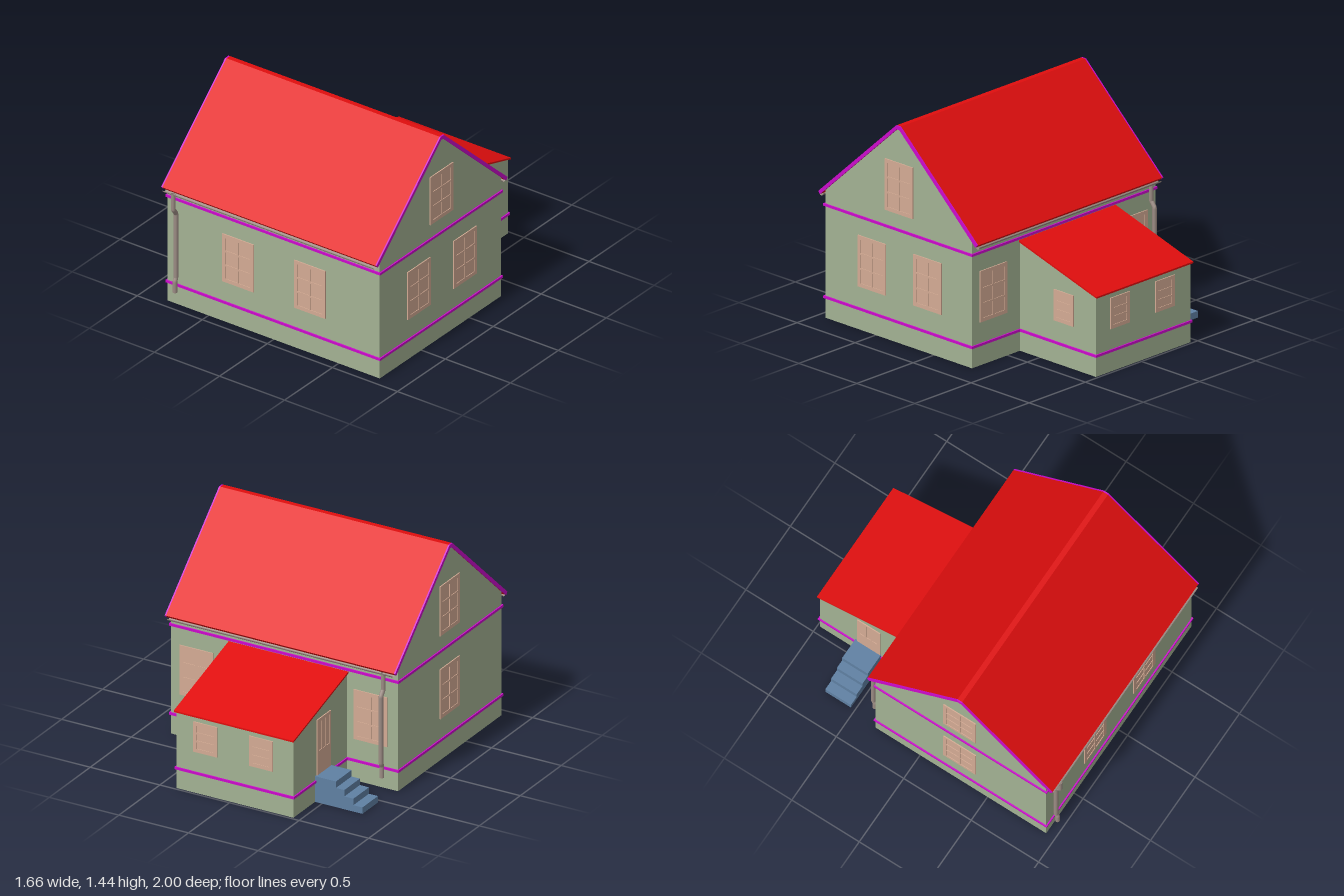
import * as THREE from 'three';

const mat = (color) => new THREE.MeshStandardMaterial({ color, side: THREE.DoubleSide });
const WALL = mat(0xa3b293), ROOF = mat(0xe00e0e), TRIM = mat(0xcc0acc);
const WOOD = mat(0xd4ab94), METAL = mat(0x9c8c84), STONE = mat(0x5f80a3);

function mesh(name, geometry, material, parent) {
  const m = new THREE.Mesh(geometry, material);
  m.name = name;
  parent.add(m);
  return m;
}

function box(name, x0, x1, y0, y1, z0, z1, material, parent) {
  const m = mesh(name, new THREE.BoxGeometry(x1 - x0, y1 - y0, z1 - z0), material, parent);
  m.position.set((x0 + x1) / 2, (y0 + y1) / 2, (z0 + z1) / 2);
  return m;
}

const polygon = (pts) => new THREE.Shape(pts.map(([a, b]) => new THREE.Vector2(a, b)));

// Extrude a (z, y) profile along x between x0 and x1
function alongX(pts, x0, x1) {
  return new THREE.ExtrudeGeometry(polygon(pts), { depth: x1 - x0, bevelEnabled: false })
    .rotateY(-Math.PI / 2).translate(x1, 0, 0);
}

// Flat wall with a (z, y) outline at a given x
function sideWall(name, pts, x, parent) {
  mesh(name, new THREE.ShapeGeometry(polygon(pts)).rotateY(-Math.PI / 2).translate(x, 0, 0), WALL, parent);
}

// Flat wall facing front or back
function crossWall(name, x0, x1, h, z, parent) {
  mesh(name, new THREE.PlaneGeometry(x1 - x0, h).translate((x0 + x1) / 2, h / 2, z), WALL, parent);
}

// Frame with pane openings [x, y, w, h] and a recessed panel behind it
function framed(name, w, h, panes, [x, y, z], turn, parent) {
  const g = new THREE.Group();
  g.name = name;
  const rect = (a, b, c, d) => [[a, b], [a + c, b], [a + c, b + d], [a, b + d]];
  const shape = polygon(rect(-w / 2, -h / 2, w, h));
  for (const p of panes) shape.holes.push(polygon(rect(...p)));
  mesh('frame', new THREE.ExtrudeGeometry(shape, { depth: 0.02, bevelEnabled: false }).translate(0, 0, -0.013), WOOD, g);
  mesh('pane', new THREE.BoxGeometry(w - 0.01, h - 0.01, 0.006), WOOD, g);
  g.position.set(x, y, z);
  g.rotation.y = turn;
  parent.add(g);
}

function paneGrid(w, h, cols, rows, x0 = -w / 2, y0 = -h / 2, margin = 0.025, gap = 0.012) {
  const pw = (w - 2 * margin - gap * (cols - 1)) / cols;
  const ph = (h - 2 * margin - gap * (rows - 1)) / rows;
  const out = [];
  for (let i = 0; i < cols; i++)
    for (let j = 0; j < rows; j++)
      out.push([x0 + margin + i * (pw + gap), y0 + margin + j * (ph + gap), pw, ph]);
  return out;
}

export function createModel() {
  const house = new THREE.Group();
  house.name = 'house';
  const X = 0.816, ZF = 0.935, ZB = -0.33;
  const AX0 = -0.45, AX1 = 0.39, AZ = -0.985;

  // Main walls, open underneath
  const gable = [[ZF, 0], [ZF, 0.846], [0.31, 1.42], [0.285, 1.42], [ZB, 0.85], [ZB, 0]];
  sideWall('leftWall', gable, X, house);
  sideWall('rightWall', gable, -X, house);
  crossWall('frontWall', -X, X, 0.846, ZF, house);
  crossWall('backWall', -X, X, 0.85, ZB, house);

  // Porch walls
  const porchSide = [[ZB, 0], [ZB, 0.722], [AZ, 0.527], [AZ, 0]];
  sideWall('porchLeftWall', porchSide, AX1, house);
  sideWall('porchRightWall', porchSide, AX0, house);
  crossWall('porchBackWall', AX0, AX1, 0.527, AZ, house);

  // Roofs and gable edge boards
  const roof = [[0.985, 0.83], [0.315, 1.441], [0.28, 1.441], [-0.385, 0.83],
    [-0.37, 0.813], [0.286, 1.417], [0.309, 1.417], [0.97, 0.813]];
  mesh('mainRoof', alongX(roof, -0.818, 0.818), ROOF, house);
  mesh('leftEdgeBoard', alongX(roof, 0.818, 0.828), TRIM, house);
  mesh('rightEdgeBoard', alongX(roof, -0.828, -0.818), TRIM, house);
  mesh('porchRoof', alongX([[ZB, 0.735], [-1, 0.536], [-1, 0.525], [ZB, 0.723]], -0.46, 0.4), ROOF, house);

  // Trim bands around the walls
  const t = 0.009;
  for (const y of [0.131, 0.742]) {
    const y1 = y + 0.016;
    box('frontBand', -X - t, X + t, y, y1, ZF, ZF + t, TRIM, house);
    for (const [a, b] of y < 0.5 ? [[-X - t, AX0], [AX1, X + t]] : [[-X - t, X + t]])
      box('backBand', a, b, y, y1, ZB - t, ZB, TRIM, house);
    box('leftBand', X, X + t, y, y1, ZB, ZF, TRIM, house);
    box('rightBand', -X - t, -X, y, y1, ZB, ZF, TRIM, house);
  }
  box('porchBackBand', AX0 - t, AX1 + t, 0.131, 0.147, AZ - t, AZ, TRIM, house);
  box('porchLeftBand', AX1, AX1 + t, 0.131, 0.147, AZ, ZB, TRIM, house);
  for (const [a, b] of [[AZ, -0.715], [-0.535, ZB]])
    box('porchRightBand', AX0 - t, AX0, 0.131, 0.147, a, b, TRIM, house);

  // Windows
  const Q = Math.PI / 2;
  const big = paneGrid(0.24, 0.34, 2, 3), small = paneGrid(0.17, 0.206, 1, 3);
  const bigWindows = [
    [-0.27, 0.456, ZF, 0], [0.282, 0.456, ZF, 0],
    [-0.62, 0.456, ZB, 2 * Q], [0.63, 0.456, ZB, 2 * Q],
    [X, 0.456, 0.53, Q], [X, 0.456, 0.05, Q], [X, 1.025, 0.296, Q],
    [-X, 0.456, 0.296, -Q], [-X, 1.025, 0.296, -Q],
  ];
  for (const [x, y, z, turn] of bigWindows) framed('window', 0.24, 0.34, big, [x, y, z], turn, house);
  for (const [x, z, turn] of [[0.18, AZ, 2 * Q], [-0.22, AZ, 2 * Q], [AX1, -0.71, Q]])
    framed('porchWindow', 0.17, 0.206, small, [x, 0.386, z], turn, house);

  // Door with tall panes above a solid panel
  framed('door', 0.17, 0.38, paneGrid(0.17, 0.24, 3, 1, -0.085, -0.05, 0.022), [AX0, 0.365, -0.62], -Q, house);

  // Steps rising to the door
  const rise = 0.044;
  const edges = [-0.79, -0.725, -0.66, -0.6];
  const profile = [[AX0, 0], [edges[0], 0]];
  edges.forEach((x, i) => profile.push([x, (i + 1) * rise], [edges[i + 1] ?? AX0, (i + 1) * rise]));
  mesh('steps', new THREE.ExtrudeGeometry(polygon(profile.reverse()), { depth: 0.19, bevelEnabled: false })
    .translate(0, 0, -0.72), STONE, house);

  // Gutters and downpipes
  for (const z of [0.977, -0.372]) {
    const gutter = new THREE.CylinderGeometry(0.016, 0.016, 1.62, 12, 1, true, Math.PI, Math.PI).rotateZ(Q);
    mesh('gutter', gutter.translate(0, 0.813, z), METAL, house);
  }
  const path = [[0.81, 0.984], [0.7, 0.984], [0.66, 0.955], [0.2, 0.955], [0.18, 0.966], [0.1, 0.966]];
  for (const dz of [0, -1.355]) {
    const curve = new THREE.CatmullRomCurve3(
      path.map(([y, z]) => new THREE.Vector3(-0.735, y, z + dz)), false, 'catmullrom', 0);
    mesh('downpipe', new THREE.TubeGeometry(curve, 60, 0.015, 10), METAL, house);
  }
  return house;
}
